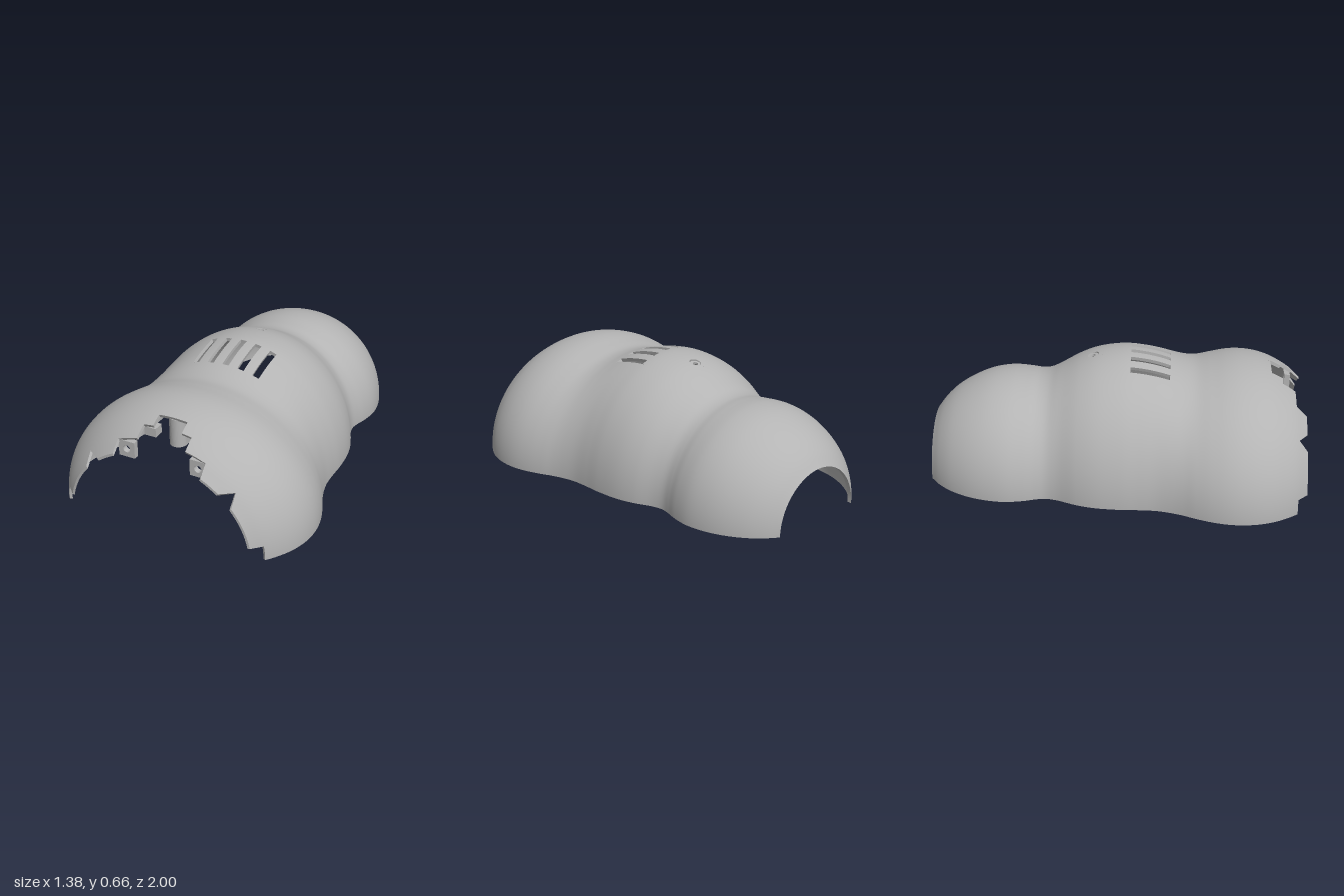
import * as THREE from 'three';

const THICK = 0.018;
const V = (x, y, z) => new THREE.Vector3(x, y, z);

// Half-width and height of the arched shell along its length: z, width, height
const stations = [
  [-1, 0.28, 0.28], [-0.95, 0.345, 0.345], [-0.88, 0.409, 0.407], [-0.78, 0.467, 0.464],
  [-0.68, 0.5, 0.5], [-0.58, 0.512, 0.513], [-0.48, 0.498, 0.507], [-0.42, 0.48, 0.502],
  [-0.37, 0.471, 0.512], [-0.31, 0.482, 0.543], [-0.2, 0.528, 0.603], [-0.1, 0.554, 0.638],
  [0.03, 0.565, 0.655], [0.13, 0.564, 0.647], [0.22, 0.568, 0.628], [0.3, 0.586, 0.602],
  [0.36, 0.607, 0.584], [0.42, 0.634, 0.577], [0.5, 0.664, 0.59], [0.58, 0.683, 0.605],
  [0.65, 0.688, 0.61], [0.73, 0.68, 0.603], [0.81, 0.656, 0.582], [0.88, 0.619, 0.549],
  [0.94, 0.576, 0.511], [1, 0.517, 0.458],
];
const spine = new THREE.CatmullRomCurve3(stations.map(([z, w, h]) => V(w, h, z)), false, 'centripetal');

// Outer surface: u goes over the arch, v from back to front
function outerPoint(u, v) {
  const s = spine.getPoint(Math.min(1, Math.max(0, v)));
  return V(s.x * Math.cos(u), Math.max(0, s.y * Math.sin(u)), s.z);
}
function outerNormal(u, v) {
  const e = 0.002, v0 = Math.max(0, v - e), v1 = Math.min(1, v + e);
  const s = spine.getPoint(v);
  const du = V(-s.x * Math.sin(u), s.y * Math.cos(u), 0);
  const a = spine.getPoint(v0), b = spine.getPoint(v1);
  const dv = V((b.x - a.x) * Math.cos(u), (b.y - a.y) * Math.sin(u), b.z - a.z);
  return du.cross(dv).normalize();
}
function innerPoint(p, n) {
  // knife edge at the back opening, flat rim at the front
  const back = Math.min(1, (p.z + 1) / 0.1), front = Math.min(1, (1 - p.z) / 0.08);
  const q = p.clone().addScaledVector(n, -THICK);
  return V(
    p.x + (q.x - p.x) * back,
    Math.max(0, p.y + (q.y - p.y) * back),
    p.z + (q.z - p.z) * front + (1 - back) * 0.009,
  );
}

// A cutter is a list of functions, all positive inside the removed region
const boxCut = (x0, x1, z0, z1, y0 = -1, y1 = 2) => [
  (p) => p.x - x0, (p) => x1 - p.x, (p) => p.z - z0, (p) => z1 - p.z, (p) => p.y - y0, (p) => y1 - p.y,
];
const roundCut = (z, r, sides) => {
  const planes = [(p) => p.y - 0.3];
  for (let i = 0; i < sides; i++) {
    const a = (i / sides) * Math.PI * 2;
    planes.push((p) => r - p.x * Math.cos(a) - (p.z - z) * Math.sin(a));
  }
  return planes;
};

const cutters = [
  // stepped front opening
  boxCut(-0.08, 0.08, 0.82, 2), boxCut(-0.135, 0.135, 0.88, 2), boxCut(-0.245, 0.245, 0.945, 2),
  boxCut(-0.41, 0.41, 0.9, 2, -1, 0.345), boxCut(-1, 1, 0.95, 2, -1, 0.08),
  // screw hole
  roundCut(-0.135, 0.03, 16),
];
// five vent slots
for (let i = -2; i <= 2; i++) cutters.push(boxCut(i * 0.0875 - 0.018, i * 0.0875 + 0.018, 0.07, 0.28, 0.3));

const makeVertex = (u, v) => ({ u, v, p: outerPoint(u, v) });

function splitPolygon(poly, f) {
  const inside = [], outside = [];
  poly.forEach((a, i) => {
    const b = poly[(i + 1) % poly.length], fa = f(a.p), fb = f(b.p);
    (fa > 0 ? inside : outside).push(a);
    if ((fa > 0) !== (fb > 0)) {
      const t = fa / (fa - fb);
      const m = makeVertex(a.u + (b.u - a.u) * t, a.v + (b.v - a.v) * t);
      inside.push(m);
      outside.push(m);
    }
  });
  return { inside, outside };
}

function subtract(polys, planes) {
  const kept = [];
  for (const poly of polys) {
    if (planes.some((f) => poly.every((a) => f(a.p) <= 1e-6))) { kept.push(poly); continue; }
    let rest = poly;
    for (const f of planes) {
      const { inside, outside } = splitPolygon(rest, f);
      if (outside.length > 2) kept.push(outside);
      rest = inside;
      if (rest.length < 3) break;
    }
  }
  return kept;
}

// Shell with thickness: outer skin, inner skin and walls along every open edge
function shellGeometry() {
  const NU = 72, NV = 110;
  const grid = [];
  for (let j = 0; j <= NV; j++) {
    grid.push([]);
    for (let i = 0; i <= NU; i++) grid[j].push(makeVertex((i / NU) * Math.PI, j / NV));
  }
  let polys = [];
  for (let j = 0; j < NV; j++) {
    for (let i = 0; i < NU; i++) polys.push([grid[j][i], grid[j][i + 1], grid[j + 1][i + 1], grid[j + 1][i]]);
  }
  for (const c of cutters) polys = subtract(polys, c);

  const pos = [], nor = [];
  const tri = (pts, ns) => pts.forEach((p, i) => { pos.push(p.x, p.y, p.z); nor.push(ns[i].x, ns[i].y, ns[i].z); });
  const edges = new Map();
  const key = (a) => `${a.u.toFixed(5)},${a.v.toFixed(5)}`;
  for (const poly of polys) {
    for (const a of poly) {
      if (a.n) continue;
      a.n = outerNormal(a.u, a.v);
      a.q = innerPoint(a.p, a.n);
      a.m = a.n.clone().negate();
    }
    for (let i = 1; i < poly.length - 1; i++) {
      const [a, b, c] = [poly[0], poly[i], poly[i + 1]];
      tri([a.p, b.p, c.p], [a.n, b.n, c.n]);
      tri([a.q, c.q, b.q], [a.m, c.m, b.m]);
    }
    poly.forEach((a, i) => {
      const b = poly[(i + 1) % poly.length];
      if (key(a) !== key(b)) edges.set(`${key(a)}|${key(b)}`, [a, b]);
    });
  }
  for (const [a, b] of edges.values()) {
    if (edges.has(`${key(b)}|${key(a)}`)) continue;
    const n = a.p.clone().sub(b.p).cross(b.q.clone().sub(b.p)).normalize();
    tri([b.p, a.p, a.q], [n, n, n]);
    tri([b.p, a.q, b.q], [n, n, n]);
  }
  const g = new THREE.BufferGeometry();
  g.setAttribute('position', new THREE.Float32BufferAttribute(pos, 3));
  g.setAttribute('normal', new THREE.Float32BufferAttribute(nor, 3));
  return g;
}

// Rectangular plate with a round hole, centred in x and y, extruded along +z
function drilledPlate(w, h, depth, r) {
  const s = new THREE.Shape([[-w, -h], [w, -h], [w, h], [-w, h]].map(([x, y]) => new THREE.Vector2(x / 2, y / 2)));
  s.holes.push(new THREE.Path().absarc(0, 0, r, 0, Math.PI * 2, true));
  return new THREE.ExtrudeGeometry(s, { depth, bevelEnabled: false, curveSegments: 10 });
}

export function createModel() {
  const model = new THREE.Group();
  const grey = new THREE.MeshStandardMaterial({ color: 0xb4b4b4 });
  grey.name = 'grey plastic';
  const add = (name, geometry, x = 0, y = 0, z = 0) => {
    const mesh = new THREE.Mesh(geometry, grey);
    mesh.name = name;
    mesh.position.set(x, y, z);
    model.add(mesh);
    return mesh;
  };

  add('shell', shellGeometry());

  // Narrow seat inside the screw hole
  const ring = new THREE.Shape().absarc(0, 0, 0.031, 0, Math.PI * 2, false);
  ring.holes.push(new THREE.Path().absarc(0, 0, 0.015, 0, Math.PI * 2, true));
  const seat = new THREE.ExtrudeGeometry(ring, { depth: 0.01, bevelEnabled: false }).rotateX(-Math.PI / 2);
  add('screwSeat', seat, 0, 0.612, -0.135).rotation.x = -0.22;

  // Round-fronted post hanging from the roof behind the front opening
  const d = new THREE.Shape().moveTo(0.045, 0.08).lineTo(-0.045, 0.08).lineTo(-0.045, 0.035);
  d.absarc(0, 0.035, 0.045, Math.PI, Math.PI * 2, false);
  const post = new THREE.ExtrudeGeometry(d, { depth: 0.155, bevelEnabled: false }).rotateX(-Math.PI / 2);
  add('roofPost', post, 0, 0.41, 0.81);

  for (const side of [-1, 1]) {
    // Screw tabs beside the front opening
    add('screwTab', drilledPlate(0.09, 0.09, 0.03, 0.02), side * 0.2, 0.41, 0.912);
    // Drilled fixing blocks along the bottom rim
    for (const [x, w, z] of [[0.435, 0.07, -0.45], [0.513, 0.076, 0.2]]) {
      const block = drilledPlate(w, 0.065, 0.055, 0.015).rotateX(-Math.PI / 2);
      add('fixingBlock', block, side * x, 0, z);
    }
  }
  return model;
}
